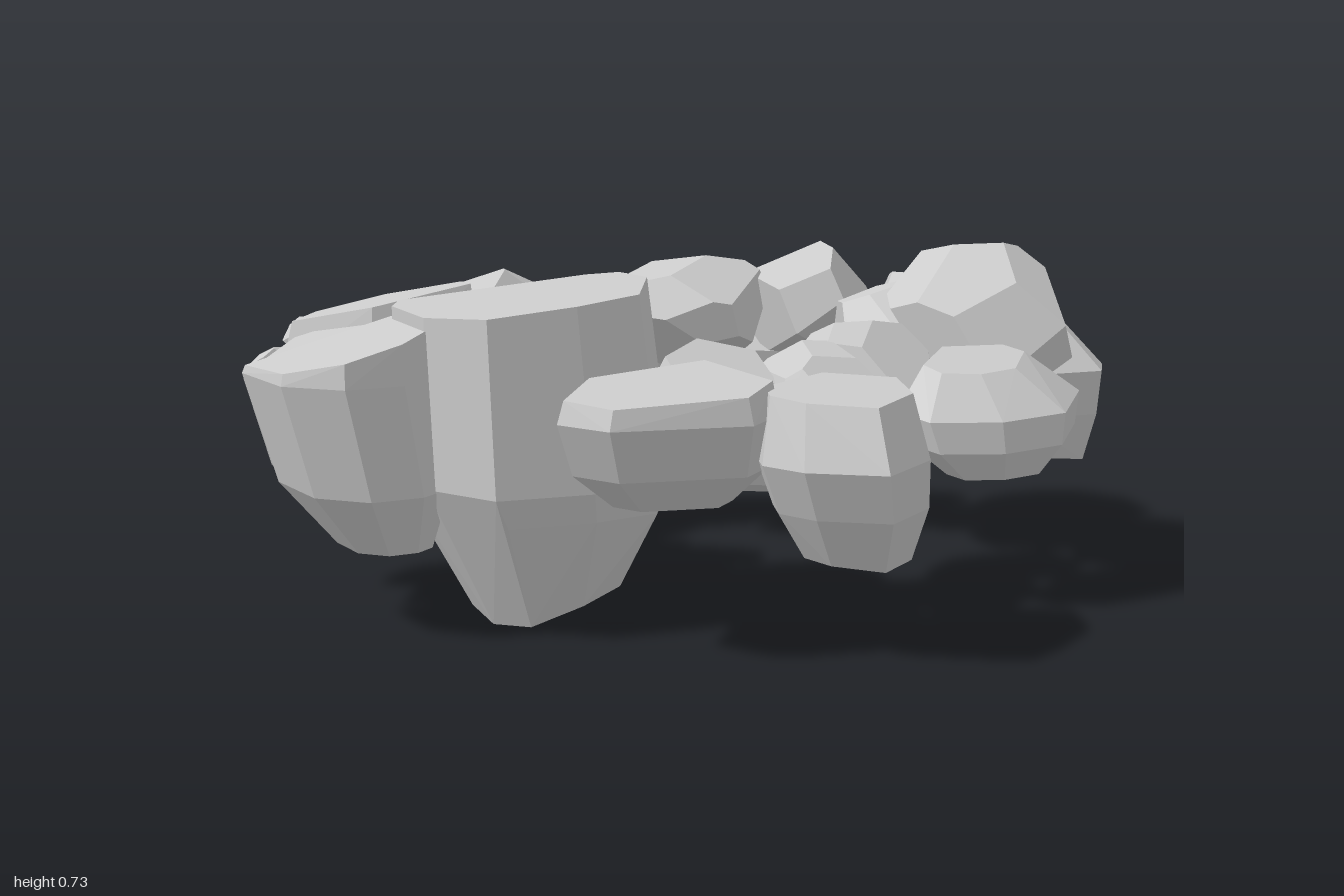
import * as THREE from 'three';
import { ConvexGeometry } from 'three/addons/geometries/ConvexGeometry.js';

const material = new THREE.MeshStandardMaterial({ color: 0xcccccc, flatShading: true });

let seed = 11;
const rand = () => {
  seed = (seed * 16807) % 2147483647;
  return seed / 2147483647;
};

function addHull(group, name, points) {
  const mesh = new THREE.Mesh(new ConvexGeometry(points), material);
  mesh.name = name;
  group.add(mesh);
}

// Boulder: hull of its plan outline stacked at several heights and scales.
// top / bottom scale the end facets, tilt / base are their slopes in x and z,
// lean is the slope of the girth, shift / foot move the ends sideways.
function boulder(group, name, outline, y0, y1, opt = {}) {
  const { top = 0.5, bottom = 0.45, lean = [0, 0], tilt = lean, base = lean, shift = [0, 0], foot = [0, 0], high = 0.62 } = opt;
  const cx = outline.reduce((s, p) => s + p[0], 0) / outline.length;
  const cz = outline.reduce((s, p) => s + p[1], 0) / outline.length;
  const h = y1 - y0;
  const rings = [
    [y0, bottom, foot, base],
    [y0 + h * 0.3, 0.9, [foot[0] * 0.6, foot[1] * 0.6], lean],
    [y0 + h * high, 1, [0, 0], lean],
    [y1, top, shift, tilt],
  ];
  const points = [];
  for (const [y, s, [ox, oz], [sx, sz]] of rings) {
    for (const [px, pz] of outline) {
      const dx = (px - cx) * s, dz = (pz - cz) * s;
      points.push(new THREE.Vector3(cx + dx + ox, y + sx * dx + sz * dz, cz + dz + oz));
    }
  }
  addHull(group, name, points);
}

// Stone: a ball cut by uneven planes, leaned by slopes in x and z, fitted to its box.
function stone(group, name, xs, ys, zs, lean = [0, 0], cuts = 17) {
  const planes = [];
  const turn = rand() * 6;
  for (let i = 0; i < cuts; i++) {
    const y = 1 - (2 * i + 1) / cuts;
    const r = Math.sqrt(1 - y * y);
    const a = turn + i * 2.39996;
    const normal = new THREE.Vector3(r * Math.cos(a), y, r * Math.sin(a));
    normal.x += 0.35 * (rand() - 0.5);
    normal.y += 0.35 * (rand() - 0.5);
    normal.z += 0.35 * (rand() - 0.5);
    planes.push({ normal: normal.normalize(), d: 0.9 + 0.2 * rand() });
  }
  // Corners are the plane crossings that no other plane cuts away
  const corners = [];
  for (let i = 0; i < cuts; i++) for (let j = i + 1; j < cuts; j++) for (let k = j + 1; k < cuts; k++) {
    const [a, b, c] = [planes[i], planes[j], planes[k]];
    const bc = b.normal.clone().cross(c.normal);
    const det = a.normal.dot(bc);
    if (Math.abs(det) < 0.001) continue;
    const p = bc.multiplyScalar(a.d)
      .addScaledVector(c.normal.clone().cross(a.normal), b.d)
      .addScaledVector(a.normal.clone().cross(b.normal), c.d)
      .divideScalar(det);
    if (planes.every(q => q.normal.dot(p) < q.d + 1e-6)) corners.push(p);
  }
  const half = [xs, ys, zs].map(([lo, hi]) => (hi - lo) / 2);
  for (const p of corners) p.y += (lean[0] * half[0] * p.x + lean[1] * half[2] * p.z) / half[1];
  const box = new THREE.Box3().setFromPoints(corners);
  const min = new THREE.Vector3(xs[0], ys[0], zs[0]);
  const size = new THREE.Vector3(xs[1], ys[1], zs[1]).sub(min);
  const extent = box.getSize(new THREE.Vector3());
  for (const p of corners) p.sub(box.min).divide(extent).multiply(size).add(min);
  addHull(group, name, corners);
}

export function createModel() {
  const group = new THREE.Group();
  group.name = 'rockRing';

  // Left side boulders
  boulder(group, 'largeBoulder',
    [[-0.69, -0.02], [-0.65, -0.11], [-0.2, -0.1], [-0.13, -0.06], [-0.12, 0.1], [-0.24, 0.37], [-0.4, 0.42], [-0.6, 0.42], [-0.69, 0.25]],
    0.043, 0.65, { top: 0.9, bottom: 0.55, tilt: [0.1, 0], base: [0.3, -0.05], shift: [-0.03, 0.02], foot: [0.02, 0.01], high: 0.4 });
  boulder(group, 'leftBoulder',
    [[-1, 0.02], [-0.68, -0.03], [-0.67, 0.25], [-0.75, 0.33], [-0.87, 0.35], [-0.97, 0.25]],
    0.16, 0.565, { top: 0.97, bottom: 0.5, tilt: [0.26, 0], foot: [0.08, -0.02], high: 0.85 });
  boulder(group, 'leftBackBoulder',
    [[-0.99, -0.02], [-0.88, -0.2], [-0.72, -0.22], [-0.66, 0.02], [-0.85, 0.06]],
    0.2, 0.56, { top: 0.85, tilt: [0.25, 0], shift: [0.02, 0], foot: [0.06, 0], high: 0.8 });
  boulder(group, 'backLeftBoulder',
    [[-0.87, -0.24], [-0.78, -0.38], [-0.6, -0.4], [-0.46, -0.2], [-0.48, -0.05], [-0.72, -0.05]],
    0.1, 0.615, { top: 0.88, tilt: [0.2, 0.08], base: [0, 0.15], high: 0.7 });

  // Front boulders
  boulder(group, 'frontSlab',
    [[-0.53, 0.58], [-0.42, 0.42], [-0.15, 0.38], [-0.1, 0.62], [-0.2, 0.73], [-0.47, 0.7]],
    0.28, 0.51, { top: 0.94, bottom: 0.55, tilt: [0.06, -0.08], foot: [0.03, -0.05], high: 0.75 });
  boulder(group, 'frontBoulder',
    [[-0.14, 0.6], [0.06, 0.48], [0.2, 0.58], [0.15, 0.76], [0, 0.89], [-0.13, 0.8], [-0.17, 0.7]],
    0.18, 0.5, { top: 0.85, bottom: 0.65, tilt: [0, -0.06], base: [-0.05, -0.06], shift: [0, -0.02], foot: [0.04, -0.02], high: 0.6 });
  boulder(group, 'frontLinkSlab',
    [[-0.21, 0.24], [-0.1, 0.17], [0.04, 0.2], [0.06, 0.38], [0, 0.47], [-0.1, 0.47], [-0.2, 0.36]],
    0.32, 0.47, { top: 0.85, bottom: 0.6, lean: [-0.1, -0.6] });
  boulder(group, 'frontRightStone',
    [[0.25, 0.42], [0.28, 0.51], [0.43, 0.54], [0.6, 0.5], [0.73, 0.34], [0.68, 0.26], [0.42, 0.25]],
    0.28, 0.5, { top: 0.55, bottom: 0.55, tilt: [0, -0.25], lean: [0, -0.12], shift: [-0.02, -0.04], foot: [0, 0.03], high: 0.6 });

  // Right and back boulders
  boulder(group, 'rightOuterBoulder',
    [[0.6, -0.1], [0.65, -0.25], [0.87, -0.28], [0.96, -0.15], [1, 0], [0.93, 0.11], [0.7, 0.12]],
    0.22, 0.56, { top: 0.5, bottom: 0.72, base: [-0.08, 0], shift: [-0.02, -0.02], foot: [0.02, 0], high: 0.6 });
  boulder(group, 'backRightBoulder',
    [[0.57, -0.35], [0.64, -0.52], [0.78, -0.64], [0.92, -0.62], [0.99, -0.46], [0.95, -0.26], [0.69, -0.21]],
    0.23, 0.6, { top: 0.5, bottom: 0.6, tilt: [-0.15, 0.1], base: [-0.1, 0], shift: [-0.04, 0.02], high: 0.65 });
  boulder(group, 'backBoulder',
    [[0.22, -0.6], [0.28, -0.83], [0.4, -0.9], [0.6, -0.7], [0.62, -0.58], [0.4, -0.5]],
    0.28, 0.57, { top: 0.55, tilt: [0, 0.1], high: 0.5 });
  boulder(group, 'backSlab',
    [[-0.28, -0.7], [-0.17, -0.87], [-0.03, -0.87], [0.05, -0.65], [-0.03, -0.52], [-0.25, -0.52]],
    0.27, 0.55, { top: 0.93, bottom: 0.5, tilt: [0.05, 0.16], high: 0.7 });

  // Rounder stones of the back
  stone(group, 'hangingStone', [-0.43, -0.1], [0.13, 0.52], [-0.75, -0.43]);
  stone(group, 'backNarrowStone', [-0.02, 0.25], [0.28, 0.6], [-0.87, -0.57], [0, 0.2]);
  stone(group, 'backInnerStone', [-0.09, 0.33], [0.4, 0.67], [-0.6, -0.27]);
  stone(group, 'backInnerCap', [0.29, 0.57], [0.42, 0.7], [-0.55, -0.23]);

  // Right side and front
  stone(group, 'rightInnerStone', [0.37, 0.65], [0.34, 0.64], [-0.29, 0.05]);
  stone(group, 'rightTopStone', [0.4, 0.83], [0.4, 0.72], [-0.1, 0.3], [0, -0.35]);
  stone(group, 'frontInnerStone', [0.14, 0.48], [0.31, 0.57], [0.02, 0.3], [0, -0.3]);
  stone(group, 'frontMiddleStone', [-0.01, 0.31], [0.28, 0.54], [0.13, 0.5], [0, -0.45]);
  stone(group, 'frontLowStone', [0.03, 0.27], [0.26, 0.42], [0.32, 0.52], [0, -0.3]);

  // Left inner side and pebbles
  stone(group, 'innerLeftStone', [-0.52, -0.27], [0.3, 0.68], [-0.32, -0.06]);
  stone(group, 'smallLeftStone', [-0.52, -0.33], [0.3, 0.58], [-0.47, -0.27]);
  const pebbles = [
    [-0.58, 0.48, -0.44, 0.07], [-0.49, 0.46, -0.51, 0.06], [-0.43, 0.42, -0.46, 0.06],
    [-0.77, 0.52, -0.37, 0.065], [-0.88, 0.48, -0.24, 0.055],
  ];
  for (const [x, y, z, r] of pebbles) {
    stone(group, 'pebble', [x - r, x + r], [y - r * 0.8, y + r * 0.8], [z - r * 0.7, z + r * 0.7], [0, 0], 13);
  }
  return group;
}
